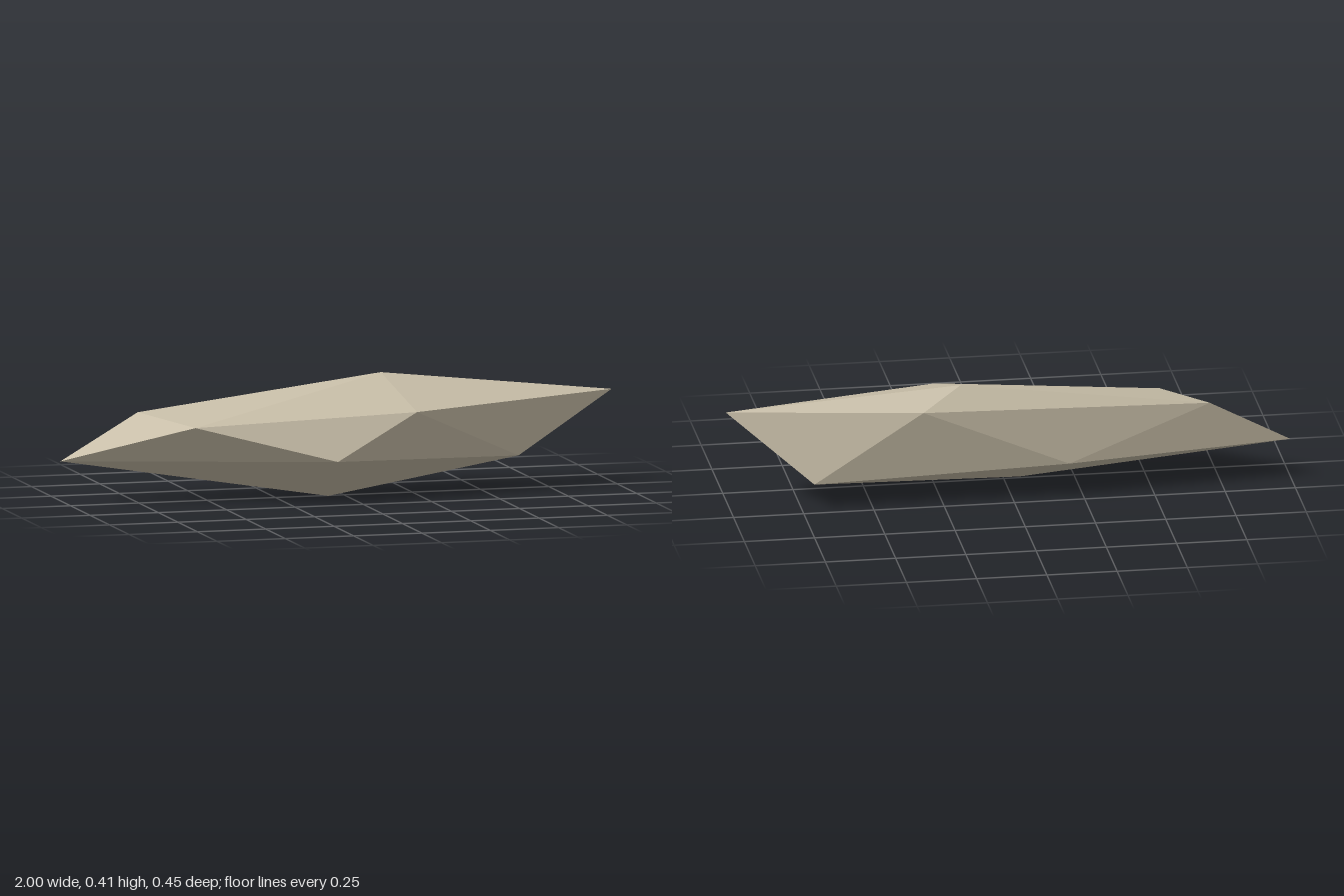
import * as THREE from 'three';

// Faceted stone shard: two tips joined by two interlocking five-cornered rings
export function createModel() {
  const group = new THREE.Group();
  group.name = 'stoneShard';

  const stone = new THREE.MeshStandardMaterial({ color: 0xc8bea8, flatShading: true });
  stone.name = 'pale stone';

  const leftTip = [1, 0.328, -0.07];
  const rightTip = [-1, 0.14, -0.13];
  // Corners run top, front, bottom, back
  const leftRing = [
    [0.175, 0.41, -0.14], [0.22, 0.308, 0.168], [0.62, 0.125, 0.067],
    [0.705, 0.09, -0.205], [0.32, 0.343, -0.223],
  ];
  const rightRing = [
    [-0.57, 0.272, 0.095], [-0.085, 0.15, 0.223], [-0.06, 0, 0.012],
    [-0.2, 0.125, -0.223], [-0.71, 0.3, -0.155],
  ];

  // Tip fans and the zigzag band between the rings
  const corners = [];
  for (let i = 0; i < 5; i++) {
    const j = (i + 1) % 5;
    corners.push(leftTip, leftRing[i], leftRing[j]);
    corners.push(leftRing[i], rightRing[i], leftRing[j]);
    corners.push(leftRing[j], rightRing[i], rightRing[j]);
    corners.push(rightTip, rightRing[j], rightRing[i]);
  }

  const geometry = new THREE.BufferGeometry();
  geometry.setAttribute('position', new THREE.Float32BufferAttribute(corners.flat(), 3));
  geometry.computeVertexNormals();

  const shard = new THREE.Mesh(geometry, stone);
  shard.name = 'shard';
  group.add(shard);
  return group;
}
